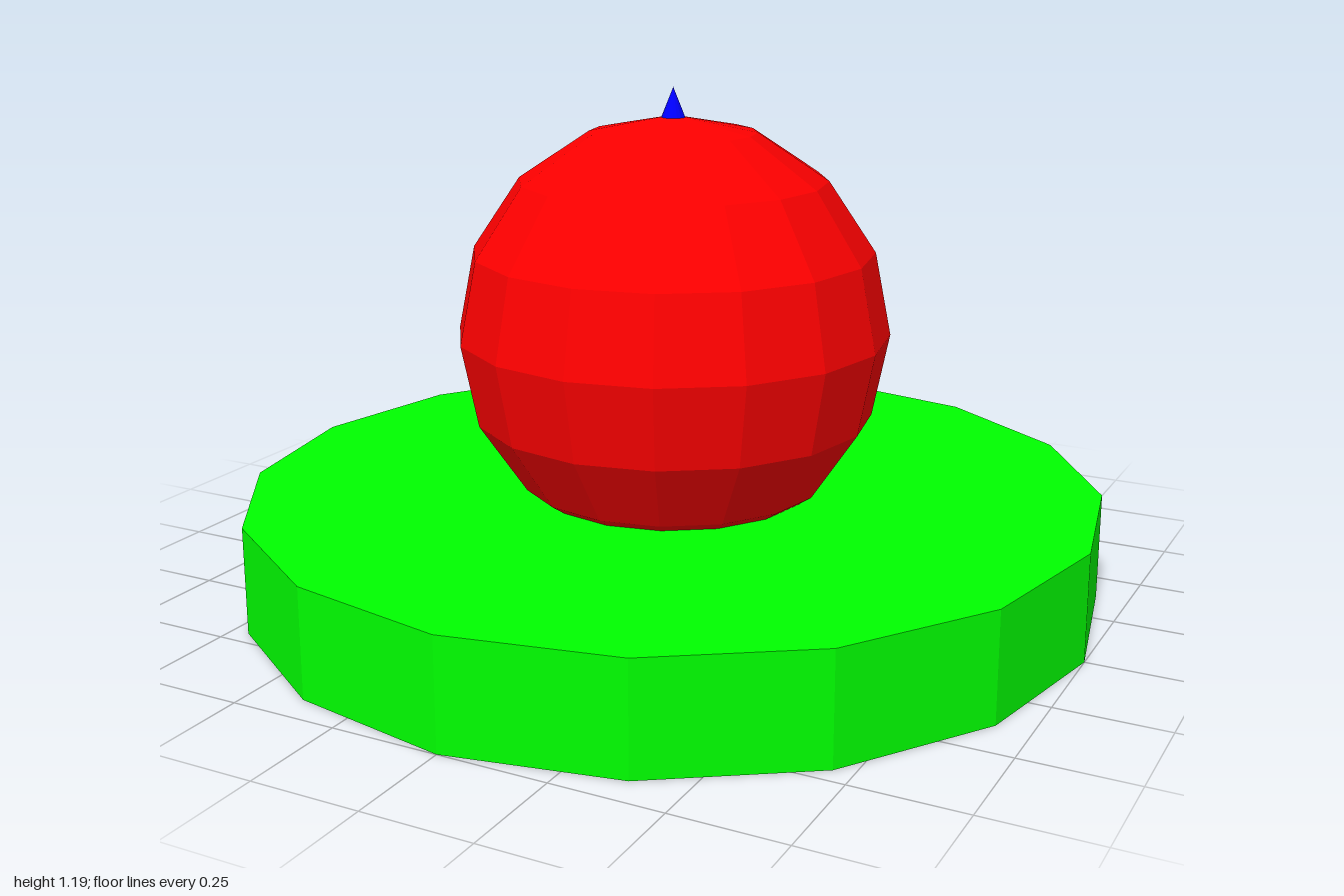
import * as THREE from 'three';

function addPart(group, name, geometry, color, y) {
  const material = new THREE.MeshStandardMaterial({ color, flatShading: true });
  const mesh = new THREE.Mesh(geometry, material);
  mesh.name = name;
  mesh.position.y = y;
  group.add(mesh);
}

export function createModel() {
  const group = new THREE.Group();
  group.name = 'domeOnBase';

  // Sixteen-sided disc standing on the ground
  addPart(group, 'base', new THREE.CylinderGeometry(1, 1, 0.25, 16), 0x00ff00, 0.125);

  // Faceted ball sunk partly into the disc
  addPart(group, 'ball', new THREE.SphereGeometry(0.5, 16, 8), 0xff0000, 0.625);

  // Small spike, its lower half inside the ball
  addPart(group, 'spike', new THREE.ConeGeometry(0.05, 0.125, 16), 0x0000ff, 1.125);

  return group;
}
